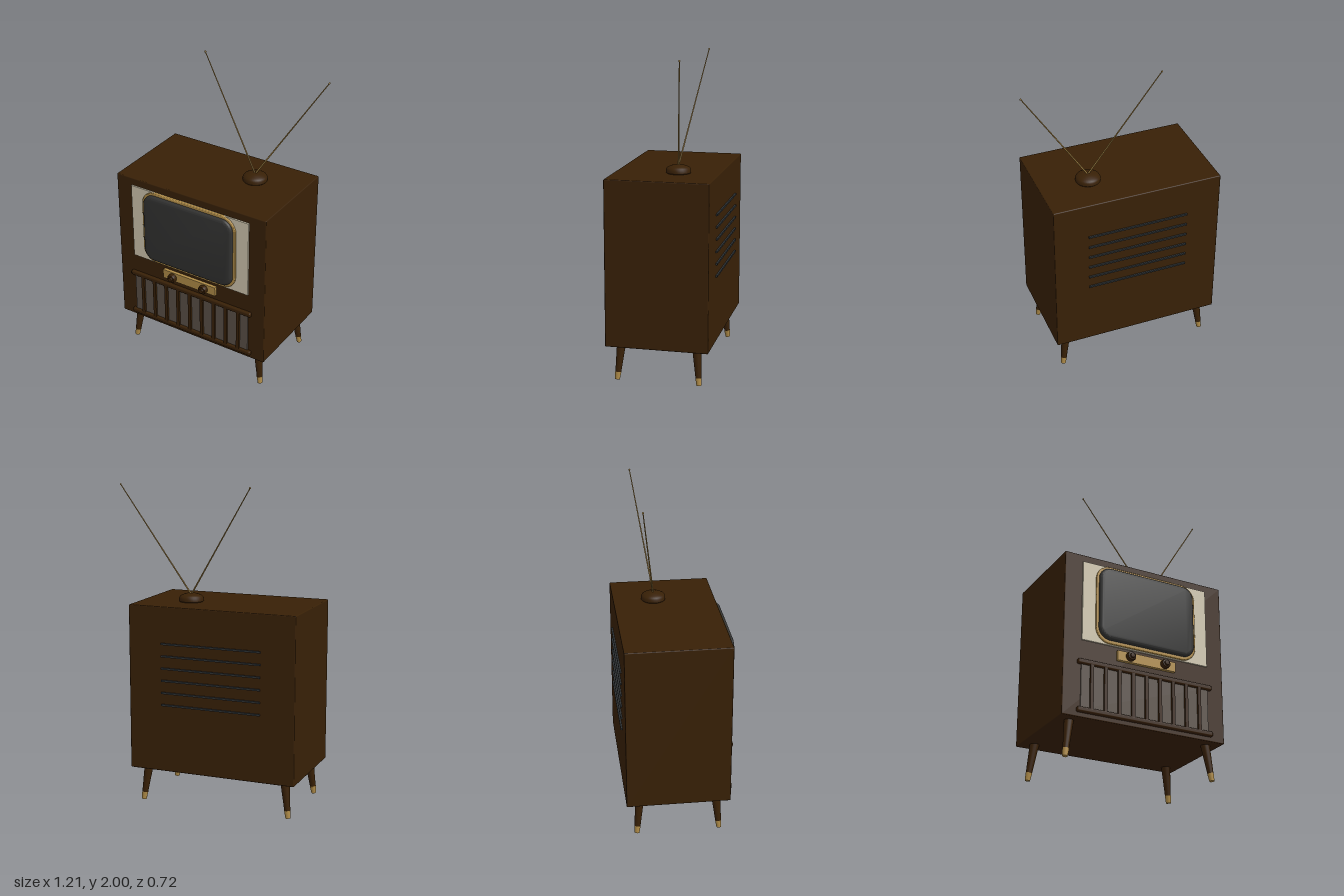
import * as THREE from 'three';
import { toCreasedNormals } from 'three/addons/utils/BufferGeometryUtils.js';
import { RoundedBoxGeometry } from 'three/addons/geometries/RoundedBoxGeometry.js';

const CX = -0.063, CZ = -0.027; // centre of the leg plan
const FRONT = 0.293, BACK = -0.351;

const mat = (name, color) => {
  const m = new THREE.MeshStandardMaterial({ color });
  m.name = name;
  return m;
};

// Rounded rectangle outline centred on the origin
function roundedRect(w, h, r, Type = THREE.Shape) {
  const s = new Type(), x = w / 2, y = h / 2;
  s.moveTo(-x + r, -y);
  s.lineTo(x - r, -y);
  s.absarc(x - r, -y + r, r, -Math.PI / 2, 0, false);
  s.lineTo(x, y - r);
  s.absarc(x - r, y - r, r, 0, Math.PI / 2, false);
  s.lineTo(-x + r, y);
  s.absarc(-x + r, y - r, r, Math.PI / 2, Math.PI, false);
  s.lineTo(-x, -y + r);
  s.absarc(-x + r, -y + r, r, Math.PI, Math.PI * 1.5, false);
  return s;
}

export function createModel() {
  const wood = mat('dark wood', 0x382006);
  const cream = mat('cream panel', 0xcfc6ae);
  const brass = mat('brass', 0xb08c48);
  const glass = mat('screen glass', 0x323231);
  const cloth = mat('speaker cloth', 0x5a5047);
  const ventMat = mat('vent grey', 0x2e3234);

  const model = new THREE.Group();
  model.name = 'televisionSet';
  const add = (name, geometry, material, x = 0, y = 0, z = 0, parent = model) => {
    const mesh = new THREE.Mesh(geometry, material);
    mesh.name = name;
    mesh.position.set(x, y, z);
    parent.add(mesh);
    return mesh;
  };
  // Tapered round bar between two points
  const bar = (name, a, b, ra, rb, material, sides, parent) => {
    const d = b.clone().sub(a), mid = a.clone().lerp(b, 0.5);
    const mesh = add(name, new THREE.CylinderGeometry(rb, ra, d.length(), sides), material, mid.x, mid.y, mid.z, parent);
    mesh.quaternion.setFromUnitVectors(new THREE.Vector3(0, 1, 0), d.normalize());
  };

  // Cabinet
  add('cabinet', new RoundedBoxGeometry(1.085, 1.044, FRONT - BACK, 2, 0.006), wood, CX, 0.75, (FRONT + BACK) / 2);

  // Front panel behind the screen
  add('frontPanel', new THREE.BoxGeometry(0.855, 0.515, 0.012), cream, CX, 0.966, FRONT + 0.004);

  // Screen surround: a ring with soft edges
  const ring = roundedRect(0.674, 0.5, 0.092);
  ring.holes.push(roundedRect(0.646, 0.468, 0.077, THREE.Path));
  add('screenSurround', toCreasedNormals(new THREE.ExtrudeGeometry(ring, {
    depth: 0.012, bevelThickness: 0.005, bevelSize: 0.005, bevelSegments: 3, curveSegments: 10,
  }), 0.7), brass, CX, 0.969, FRONT + 0.003);

  // Screen: rounded pane with a wide soft bevel
  add('screen', toCreasedNormals(new THREE.ExtrudeGeometry(roundedRect(0.607, 0.429, 0.055), {
    depth: 0.01, bevelThickness: 0.02, bevelSize: 0.022, bevelSegments: 6, curveSegments: 10,
  }), 0.7), glass, CX, 0.971, FRONT + 0.013);

  // Control strip and knobs
  add('controlStrip', new THREE.BoxGeometry(0.391, 0.062, 0.022), brass, CX, 0.653, FRONT + 0.01);
  const knobProfile = [[0, 0], [0.024, 0], [0.029, 0.006], [0.029, 0.026], [0.025, 0.032], [0.016, 0.034], [0.014, 0.043], [0, 0.045]]
    .map(([r, h]) => new THREE.Vector2(r, h));
  const knobGeo = toCreasedNormals(new THREE.LatheGeometry(knobProfile, 24), 0.6);
  for (const x of [-0.18, 0.054]) {
    add('knob', knobGeo, wood, x, 0.653, 0.314).rotation.x = Math.PI / 2;
  }

  // Speaker grille: cloth, slats and rails
  const grille = new THREE.Group();
  grille.name = 'speakerGrille';
  model.add(grille);
  add('speakerCloth', new THREE.BoxGeometry(0.856, 0.29, 0.008), cloth, CX, 0.42, FRONT + 0.003, grille);
  for (let i = -4; i <= 4; i++) {
    add('slat', new THREE.BoxGeometry(0.021, 0.29, 0.022), wood, CX + i * 0.0905, 0.42, FRONT + 0.01, grille);
  }
  for (const y of [0.568, 0.271]) {
    add('rail', new RoundedBoxGeometry(0.906, 0.032, 0.03, 3, 0.01), wood, CX, y, FRONT + 0.007, grille);
  }

  // Splayed legs with brass tips
  for (const sx of [-1, 1]) {
    for (const sz of [-1, 1]) {
      const leg = new THREE.Group();
      leg.name = 'leg';
      model.add(leg);
      const top = new THREE.Vector3(CX + sx * 0.456, 0.24, CZ + sz * 0.237);
      const foot = new THREE.Vector3(CX + sx * 0.486, 0.004, CZ + sz * 0.258);
      const joint = foot.clone().lerp(top, 0.2);
      bar('legShaft', joint, top, 0.0185, 0.029, wood, 16, leg);
      bar('legTip', foot, joint, 0.0155, 0.0195, brass, 16, leg);
    }
  }

  // Vent slots on the back
  for (let i = 0; i < 6; i++) {
    add('vent', new THREE.BoxGeometry(0.648, 0.011, 0.02), ventMat, CX, 0.655 + i * 0.0772, BACK - 0.001);
  }

  // Antenna: domed base and two rods
  const antenna = new THREE.Group();
  antenna.name = 'antenna';
  model.add(antenna);
  const baseProfile = [[0.073, 0], [0.077, 0.005], [0.077, 0.024], [0.071, 0.034], [0.056, 0.043], [0.03, 0.051], [0, 0.054]]
    .map(([r, h]) => new THREE.Vector2(r, h));
  add('antennaBase', toCreasedNormals(new THREE.LatheGeometry(baseProfile, 32), 0.6), wood, 0.168, 1.271, -0.097, antenna);
  const root = new THREE.Vector3(0.168, 1.315, -0.097);
  for (const side of [-1, 1]) {
    const tip = new THREE.Vector3(0.169 + side * 0.428, 1.994, -0.198);
    bar('antennaRod', root, tip, 0.005, 0.003, brass, 10, antenna);
    add('antennaTip', new THREE.SphereGeometry(0.006, 12, 8), brass, tip.x, tip.y, tip.z, antenna);
  }

  return model;
}
